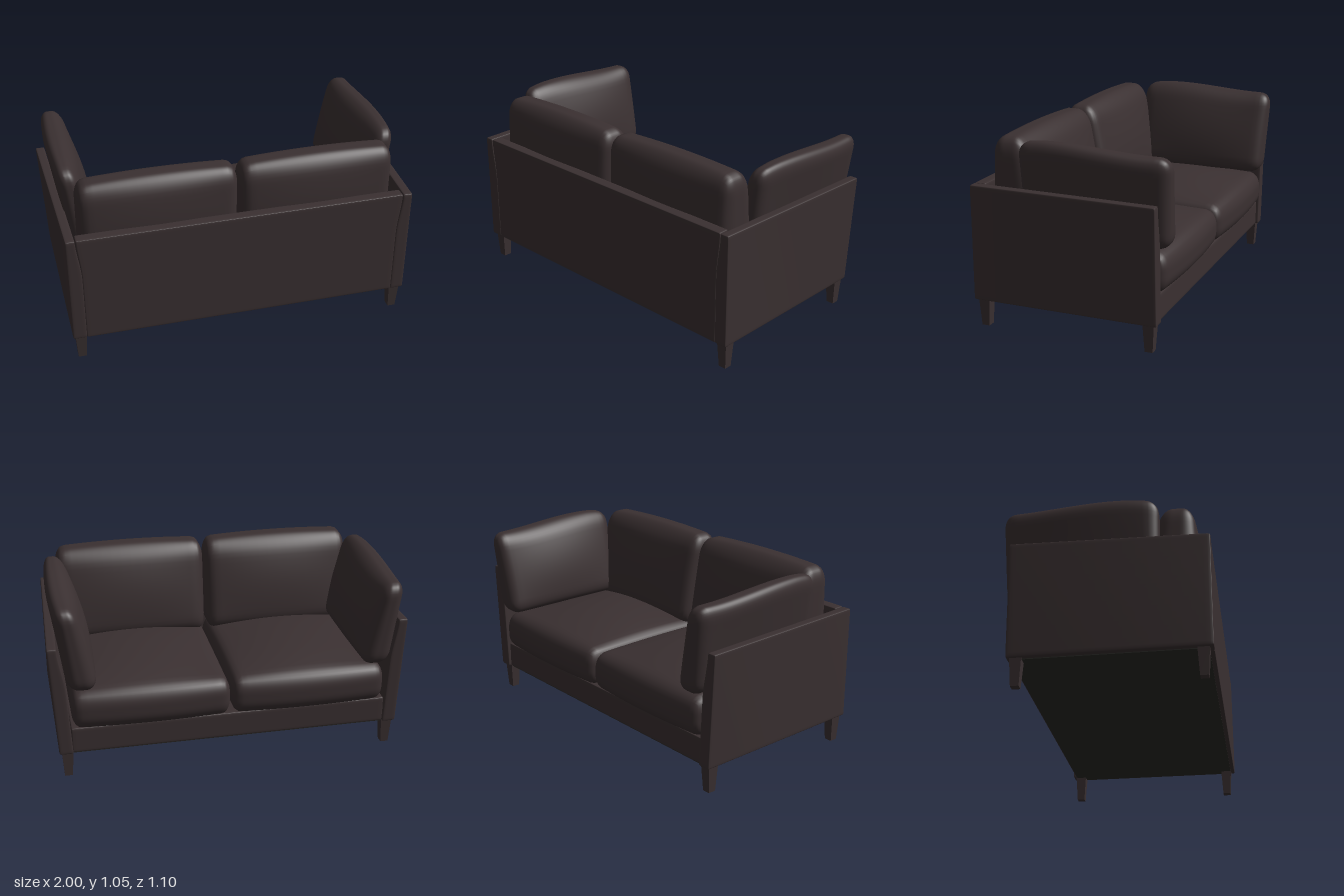
import * as THREE from 'three';
import { mergeVertices } from 'three/addons/utils/BufferGeometryUtils.js';

const upholstery = new THREE.MeshStandardMaterial({ color: 0x3a3031 });
upholstery.name = 'dark brown upholstery';
const lining = new THREE.MeshStandardMaterial({ color: 0x292925 });
lining.name = 'black underside lining';

const { lerp, smoothstep } = THREE.MathUtils;

// Rounded block: half sizes, corner radii per axis, and a rule that shapes it.
// The rule works on the +x side; side = -1 gives its mirror image.
function softBlock(name, half, radius, side, shape, segs = [24, 24, 24]) {
  let g = new THREE.BoxGeometry(2, 2, 2, ...segs);
  g.deleteAttribute('normal');
  g.deleteAttribute('uv');
  g = mergeVertices(g);
  const pos = g.attributes.position;
  for (let i = 0; i < pos.count; i++) {
    const unit = [pos.getX(i) * side, pos.getY(i), pos.getZ(i)];
    const core = [], d = [];
    unit.forEach((u, k) => {
      const p = Math.sin(u * Math.PI / 2) * half[k];
      const limit = half[k] - radius[k];
      core[k] = Math.min(limit, Math.max(-limit, p));
      d[k] = (p - core[k]) / radius[k];
    });
    const len = Math.hypot(...d) || 1;
    const n = core.map((c, k) => (c + radius[k] * d[k] / len) / half[k]);
    const [x, y, z] = shape(...n);
    pos.setXYZ(i, x * side, y, z);
  }
  g.computeVertexNormals();
  const mesh = new THREE.Mesh(g, upholstery);
  mesh.name = name;
  return mesh;
}

const dome = (a) => 1 - a * a;

// Side panel: thins towards the top and flares outwards at the open end
function arm(side) {
  return softBlock('arm', [0.04, 0.32, 0.525], [0.01, 0.01, 0.01], side, (u, v, w) => {
    const ty = (v + 1) / 2, tz = (1 - w) / 2;
    const outer = 0.967 + 0.033 * ty * tz;
    const inner = 0.89 + 0.025 * smoothstep(ty, 0.6, 1) + 0.033 * ty * tz;
    return [lerp(inner, outer, (u + 1) / 2), 0.47 + v * 0.32, 0.025 + w * 0.525];
  }, [8, 24, 24]);
}

// Seat cushion with a crowned top and a bulging front edge
function seatCushion(side) {
  return softBlock('seatCushion', [0.442, 0.11, 0.47], [0.05, 0.09, 0.07], side, (u, v, w) => {
    const crown = 0.065 * dome(u) * dome(w) * (v + 1) / 2;
    const bulge = w < 0 ? 0.025 * w * dome(u) : 0;
    return [0.445 + u * 0.442, 0.4 + v * 0.11 + crown, -0.04 + w * 0.47 + bulge];
  });
}

// Back cushion: wedge, thick at the seat and narrow at the rounded top
function backCushion(side) {
  return softBlock('backCushion', [0.437, 0.275, 0.14], [0.055, 0.1, 0.1], side, (u, v, w) => {
    const t = (v + 1) / 2;
    const front = lerp(0.185, 0.285, t) - 0.035 * dome(u) * dome(v);
    const back = lerp(0.475, 0.46, t) + 0.03 * dome(u) * dome(v);
    const top = 0.015 * dome(u) * t;
    return [0.442 + u * 0.437, 0.76 + v * 0.275 + top, lerp(front, back, (w + 1) / 2)];
  });
}

// Loose cushion leaning against the arm
function armCushion(side) {
  return softBlock('armCushion', [0.08, 0.26, 0.41], [0.065, 0.08, 0.065], side, (u, v, w) => {
    const t = (v + 1) / 2, puff = dome(w) * dome(v);
    const inner = lerp(0.735, 0.855, t) - 0.035 * puff - 0.015 * t * (1 - w) / 2;
    const outer = lerp(0.9, 0.955, t) + 0.025 * dome(w) * t;
    const sag = 0.03 * t * smoothstep(-w, -0.5, 0.8);
    const shear = -0.02 * t * (1 - w) / 2;
    const endDip = 0.012 * t * smoothstep(w, 0.6, 1);
    return [lerp(inner, outer, (u + 1) / 2), 0.79 + v * 0.26 - sag - endDip,
      -0.127 + w * 0.408 + shear];
  });
}

// Square tapered leg
function leg(x, z) {
  const g = new THREE.CylinderGeometry(0.031 * Math.SQRT2, 0.022 * Math.SQRT2, 0.15, 4, 1).toNonIndexed();
  g.rotateY(Math.PI / 4);
  g.computeVertexNormals();
  const mesh = new THREE.Mesh(g, upholstery);
  mesh.name = 'leg';
  mesh.position.set(x, 0.075, z);
  return mesh;
}

export function createModel() {
  const sofa = new THREE.Group();
  sofa.name = 'sofa';

  // Back panel and the base rail under the seat
  sofa.add(softBlock('backPanel', [0.91, 0.32, 0.032], [0.008, 0.008, 0.008], 1,
    (u, v, w) => [u * (0.892 + 0.02 * smoothstep(v, 0.2, 1)), 0.47 + v * 0.32, 0.517 + w * 0.032], [24, 24, 8]));
  sofa.add(softBlock('baseRail', [0.895, 0.075, 0.49], [0.01, 0.01, 0.01], 1,
    (u, v, w) => [u * 0.895, 0.225 + v * 0.075, 0.005 + w * 0.49], [24, 12, 24]));

  // Thin lining closing the underside
  const under = new THREE.Mesh(new THREE.BoxGeometry(1.88, 0.006, 1.0), lining);
  under.name = 'undersideLining';
  under.position.set(0, 0.148, 0.025);
  sofa.add(under);

  for (const side of [1, -1]) {
    sofa.add(arm(side), seatCushion(side), backCushion(side), armCushion(side));
    for (const z of [0.497, -0.45]) sofa.add(leg(side * 0.922, z));
  }
  return sofa;
}
